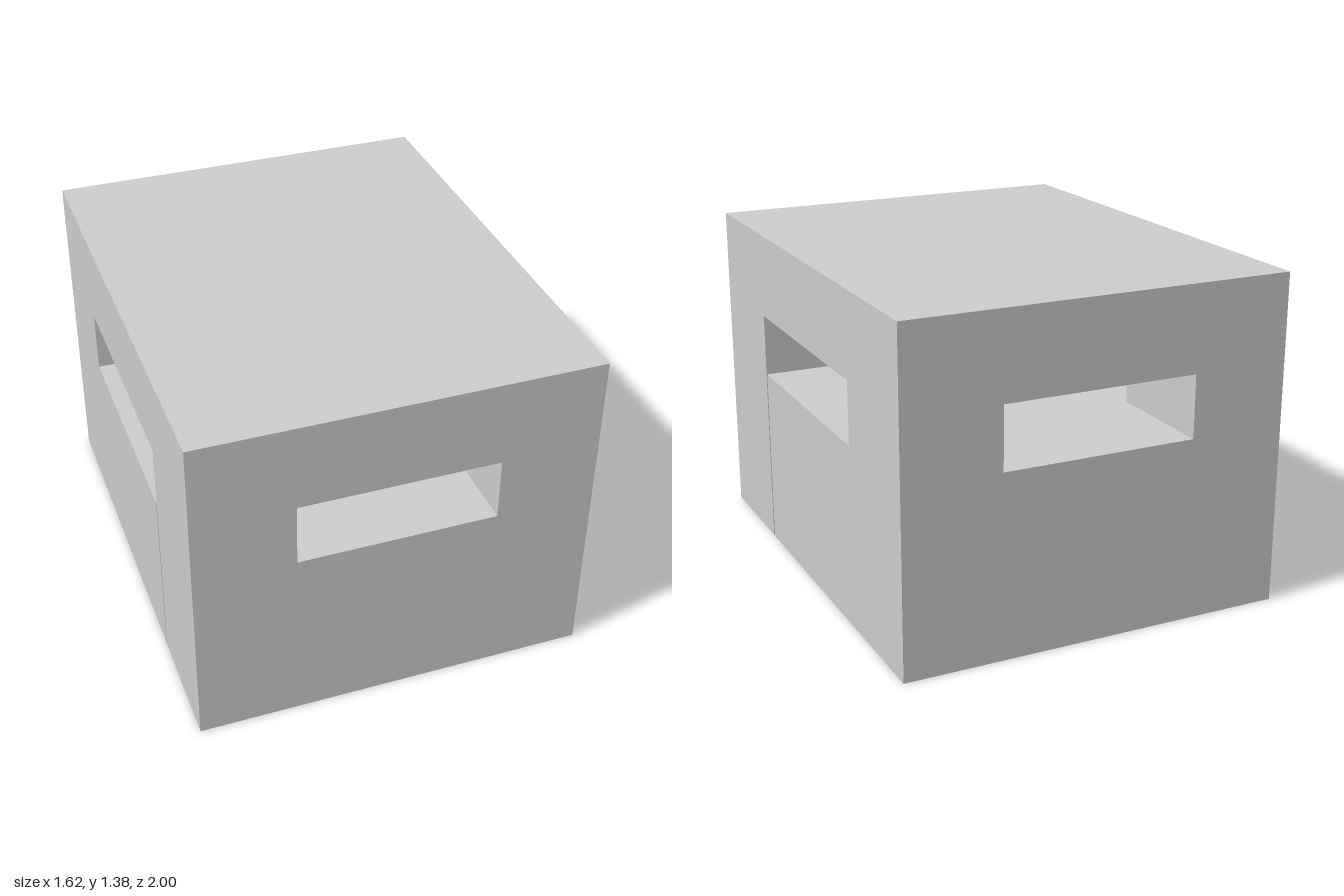
import * as THREE from 'three';

const HALF_W = 0.81, HALF_D = 1, HEIGHT = 1.375;   // outer block
const OPEN_X = 0.405, OPEN_Z = 0.5;                // half widths of the openings
const SILL = 0.76, HEAD = 1.02;                    // bottom and top of the openings
const SLIT = 0.01;                                 // narrow gap below the side opening

const material = new THREE.MeshStandardMaterial({ color: 0xcccccc, flatShading: true });

function addMesh(group, name, geometry) {
  const mesh = new THREE.Mesh(geometry, material);
  mesh.name = name;
  group.add(mesh);
}

// Box given by its limits in y and z, spanning the full width
function band(y0, y1, z0, z1) {
  return new THREE.BoxGeometry(HALF_W * 2, y1 - y0, z1 - z0)
    .translate(0, (y0 + y1) / 2, (z0 + z1) / 2);
}

function rectangle(PathType, x, y0, y1) {
  return new PathType([
    new THREE.Vector2(-x, y0), new THREE.Vector2(x, y0),
    new THREE.Vector2(x, y1), new THREE.Vector2(-x, y1),
  ]);
}

// Thick end wall pierced by the lengthwise opening
function endWall(z) {
  const shape = rectangle(THREE.Shape, HALF_W, 0, HEIGHT);
  shape.holes.push(rectangle(THREE.Path, OPEN_X, SILL, HEAD));
  return new THREE.ExtrudeGeometry(shape, { depth: HALF_D - OPEN_Z, bevelEnabled: false })
    .translate(0, 0, z);
}

export function createModel() {
  const group = new THREE.Group();
  group.name = 'piercedBlock';

  // End walls frame the lengthwise opening
  addMesh(group, 'frontWall', endWall(OPEN_Z));
  addMesh(group, 'backWall', endWall(-HALF_D));

  // Base and roof between them leave the crosswise opening free;
  // the base stops just short of the front wall to form the slit
  addMesh(group, 'middleBase', band(0, SILL, -OPEN_Z, OPEN_Z - SLIT));
  addMesh(group, 'middleRoof', band(HEAD, HEIGHT, -OPEN_Z, OPEN_Z));

  return group;
}
